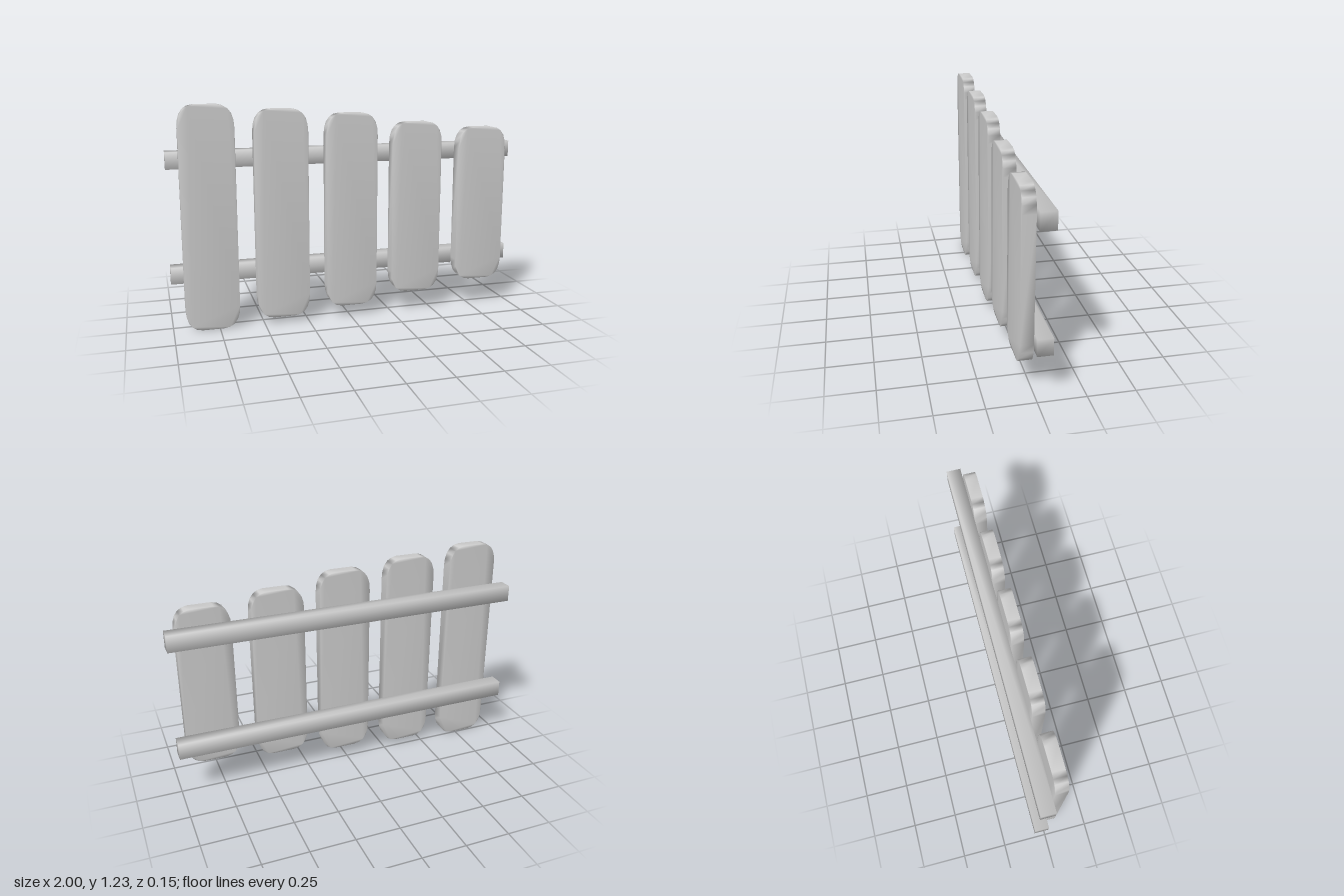
import * as THREE from 'three';
import { mergeVertices } from 'three/addons/utils/BufferGeometryUtils.js';

const material = new THREE.MeshStandardMaterial({ color: 0xcccccc });

// Weld all corners so the shading runs smoothly over the edges
function soften(geometry) {
  geometry.deleteAttribute('normal');
  geometry.deleteAttribute('uv');
  const welded = mergeVertices(geometry, 1e-4);
  welded.computeVertexNormals();
  return welded;
}

function addPart(group, geometry, name) {
  const mesh = new THREE.Mesh(soften(geometry), material);
  mesh.name = name;
  group.add(mesh);
  return mesh;
}

// Flat slab outline with soft corners
function barShape(w, bottom, top) {
  const h = w / 2, cx = 0.087, cy = 0.125;
  const s = new THREE.Shape();
  s.moveTo(-h + cx, bottom);
  s.lineTo(h - cx, bottom);
  s.bezierCurveTo(h - 0.03, bottom + 0.004, h, bottom + 0.045, h, bottom + cy);
  s.lineTo(h, top - cy);
  s.bezierCurveTo(h, top - 0.045, h - 0.03, top - 0.004, h - cx, top);
  s.lineTo(-h + cx, top);
  s.bezierCurveTo(-h + 0.03, top - 0.004, -h, top - 0.045, -h, top - cy);
  s.lineTo(-h, bottom + cy);
  s.bezierCurveTo(-h, bottom + 0.045, -h + 0.03, bottom + 0.004, -h + cx, bottom);
  return s;
}

export function createModel() {
  const group = new THREE.Group();
  group.name = 'xylophone';

  // Sounding bars, longest to shortest: centre x, bottom, top
  const bars = [
    [-0.785, 0, 1.23],
    [-0.388, 0.035, 1.2],
    [0.008, 0.067, 1.17],
    [0.393, 0.12, 1.112],
    [0.795, 0.163, 1.073],
  ];
  bars.forEach(([x, bottom, top], i) => {
    const geometry = new THREE.ExtrudeGeometry(barShape(0.295, bottom, top), {
      depth: 0.067, bevelEnabled: false, curveSegments: 5,
    });
    addPart(group, geometry, `bar${i + 1}`).position.set(x, 0, 0.007);
  });

  // Support rails behind the bars
  for (const [name, y] of [['upperRail', 0.934], ['lowerRail', 0.301]]) {
    addPart(group, new THREE.BoxGeometry(2, 0.092, 0.08), name).position.set(0, y, -0.034);
  }
  return group;
}
